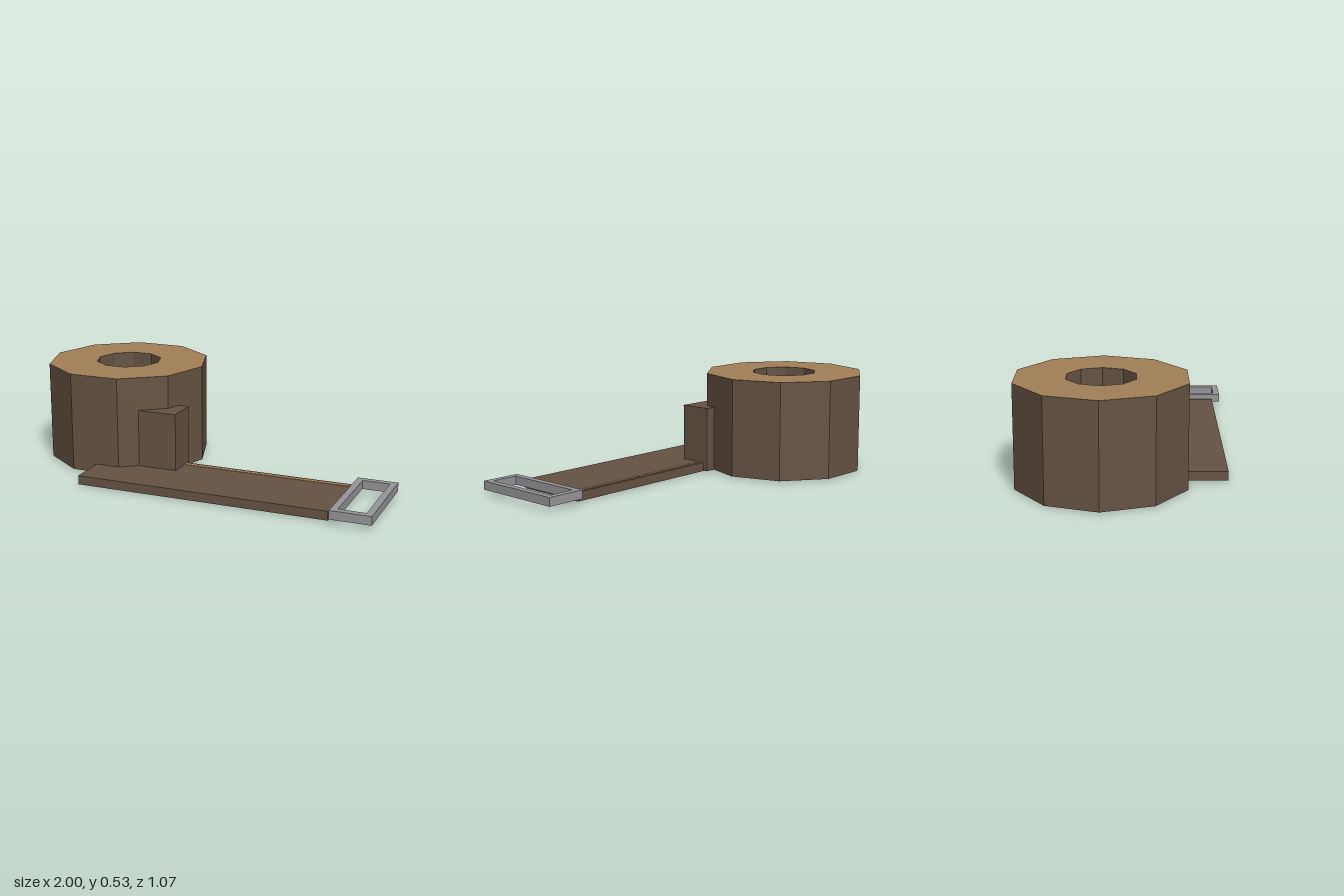
import * as THREE from 'three';

const leather = new THREE.MeshStandardMaterial({ color: 0x665444, flatShading: true });
const cutEdge = new THREE.MeshStandardMaterial({ color: 0xa37f58, flatShading: true });
const metal = new THREE.MeshStandardMaterial({ color: 0x97979b, flatShading: true });

// Corner points of a regular polygon
function polygon(radius, sides) {
  return Array.from({ length: sides }, (_, i) => {
    const a = (i / sides) * Math.PI * 2;
    return new THREE.Vector2(Math.cos(a) * radius, Math.sin(a) * radius);
  });
}

// Corner points of a centred rectangle
function rectangle(w, d) {
  return [[-1, -1], [1, -1], [1, 1], [-1, 1]].map(([x, y]) => new THREE.Vector2(x * w / 2, y * d / 2));
}

// Upright extrusion of an outline with a hole, standing on y0
function frame(name, outer, inner, y0, y1, x, z, material) {
  const shape = new THREE.Shape(outer);
  shape.holes.push(new THREE.Path(inner));
  const geo = new THREE.ExtrudeGeometry(shape, { depth: y1 - y0, bevelEnabled: false });
  geo.rotateX(-Math.PI / 2);
  const mesh = new THREE.Mesh(geo, material);
  mesh.name = name;
  mesh.position.set(x, y0, z);
  return mesh;
}

// Box given by its limits on each axis
function box(name, [x0, x1], [y0, y1], [z0, z1], material) {
  const mesh = new THREE.Mesh(new THREE.BoxGeometry(x1 - x0, y1 - y0, z1 - z0), material);
  mesh.name = name;
  mesh.position.set((x0 + x1) / 2, (y0 + y1) / 2, (z0 + z1) / 2);
  return mesh;
}

export function createModel() {
  const model = new THREE.Group();
  model.name = 'rolledBelt';

  // Rolled-up coil: pale cut edges on the caps, dark leather on the walls
  model.add(frame('coil', polygon(0.435, 10), polygon(0.176, 10), 0.005, 0.527, -0.565, -0.125, [cutEdge, leather]));

  // Keeper block against the coil
  model.add(box('keeper', [-0.34, -0.13], [0.006, 0.352], [0.055, 0.227], leather));

  // Loose end lying flat, with a pale strip along its back edge
  model.add(box('strap', [-0.56, 0.775], [0.003, 0.05], [0.082, 0.49], leather));
  model.add(box('strapEdgeStrip', [-0.558, 0.774], [0.0, 0.052], [0.1, 0.12], cutEdge));

  // Open rectangular buckle
  model.add(frame('buckle', rectangle(0.208, 0.503), rectangle(0.14, 0.433), 0.028, 0.073, 0.896, 0.284, metal));

  return model;
}
